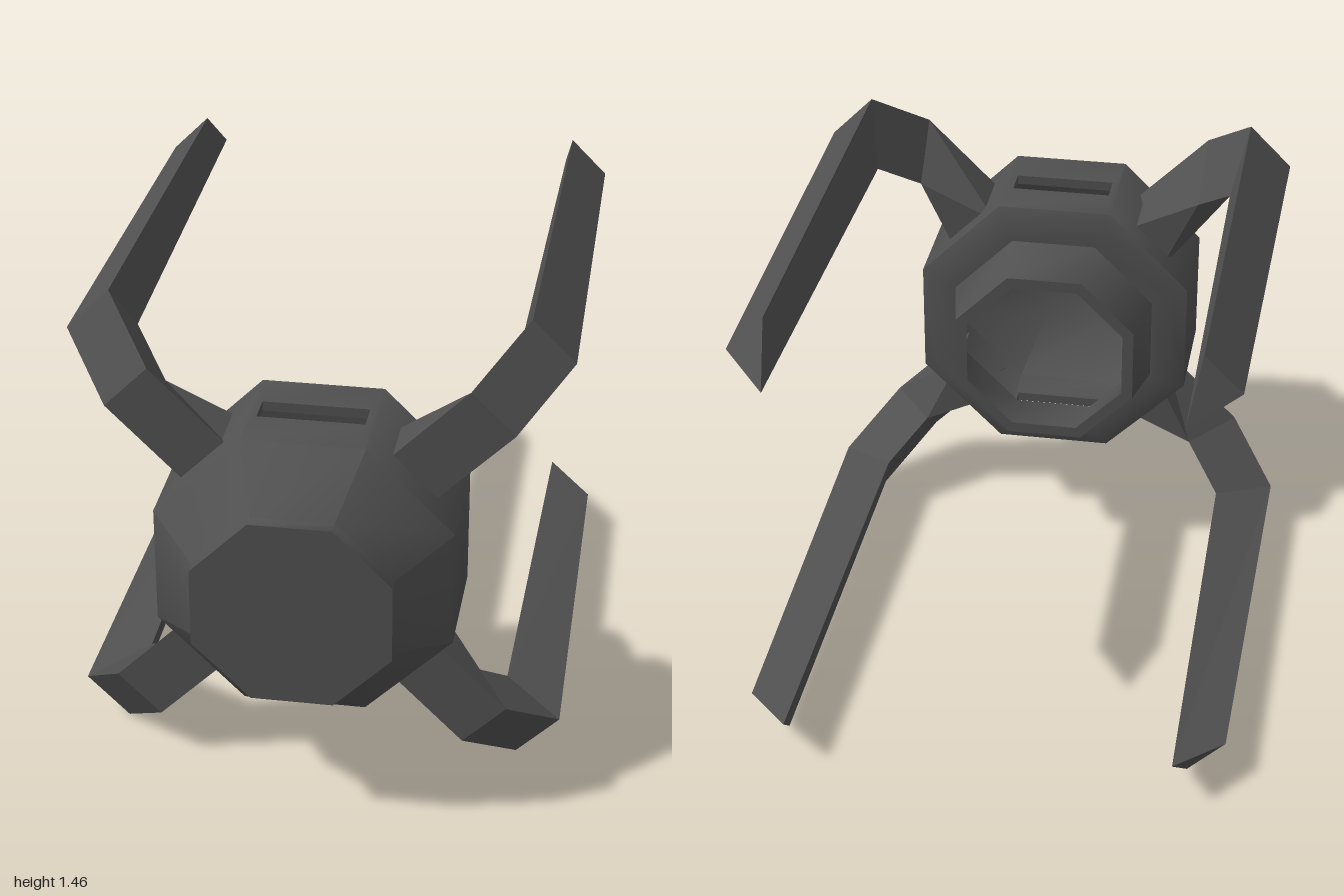
import * as THREE from 'three';
import { toCreasedNormals } from 'three/addons/utils/BufferGeometryUtils.js';

const CENTRE_Y = 0.73;

// Collects quads (corners counter-clockwise from outside), skipping empty triangles
function quadMesh() {
  const pos = [];
  const tri = (a, b, c) => {
    const t = new THREE.Triangle(...[a, b, c].map(p => new THREE.Vector3(...p)));
    if (t.getArea() > 1e-7) pos.push(...a, ...b, ...c);
  };
  return {
    quad(a, b, c, d) { tri(a, b, c); tri(a, c, d); },
    build() {
      const g = new THREE.BufferGeometry();
      g.setAttribute('position', new THREE.Float32BufferAttribute(pos, 3));
      g.computeVertexNormals();
      return g;
    },
  };
}

// Octagon with flats on top, bottom and sides; r is the distance to the flats
function octagon([r, z]) {
  const R = r / Math.cos(Math.PI / 8);
  return Array.from({ length: 8 }, (_, i) => {
    const a = Math.PI / 8 + i * Math.PI / 4;
    return [R * Math.cos(a), R * Math.sin(a), z];
  });
}

// Hollow octagonal hull: outer skin back to front, then inner skin front to back
function hullGeometry() {
  const profile = [
    [0.285, 0.23], [0.32, 0.41], [0.385, 0.41], [0.43, 0.43], [0.43, 0.79], [0.285, 0.96], [0.285, 1], [0, 1],
    [0, 0.95], [0.25, 0.93], [0.40, 0.77], [0.40, 0.45], [0.29, 0.43], [0.25, 0.23], [0.285, 0.23],
  ];
  const m = quadMesh();
  for (let s = 0; s < profile.length - 1; s++) {
    const a = octagon(profile[s]), b = octagon(profile[s + 1]);
    const slotted = s === 3 || s === 10;
    for (let i = 0; i < 8; i++) {
      const k = (i + 1) % 8;
      const c = [a[i], a[k], b[k], b[i]];
      if (!slotted || (i !== 1 && i !== 5)) { m.quad(...c); continue; }
      // Slot cut through the top and bottom panels
      const zs = s === 3 ? [0.56, 0.65] : [0.65, 0.56];
      const h = c.map((p, j) => [Math.sign(p[0]) * 0.155, p[1], zs[j < 2 ? 0 : 1]]);
      for (let j = 0; j < 4; j++) {
        const n = (j + 1) % 4;
        m.quad(c[j], c[n], h[n], h[j]);
        // Slot walls joining both skins
        if (s === 3) {
          const inner = p => [p[0], Math.sign(p[1]) * 0.40, p[2]];
          m.quad(h[j], h[n], inner(h[n]), inner(h[j]));
        }
      }
    }
  }
  return toCreasedNormals(m.build(), 0.85);
}

// Bent arm with a triangular section; its inner ridge widens into a root at the hull.
// Local y points away from the hull axis.
function armGeometry() {
  // [half width, outer radius, outer z, ridge half width, ridge radius, ridge z]
  const sections = [
    [0.09, 0.38, 0.70, 0.09, 0.38, 0.51],
    [0.09, 0.733, 0.70, 0, 0.632, 0.51],
    [0.09, 0.94, 0.52, 0, 0.786, 0.38],
    [0.078, 0.929, -0.84, 0, 0.81, -1],
  ].map(([w, r, z, rw, rr, rz]) => [[-w, r, z], [w, r, z], [rw, rr, rz], [-rw, rr, rz]]);
  const m = quadMesh();
  for (let s = 0; s < sections.length - 1; s++) {
    const a = sections[s], b = sections[s + 1];
    for (let i = 0; i < 4; i++) {
      const k = (i + 1) % 4;
      m.quad(a[i], a[k], b[k], b[i]);
    }
  }
  m.quad(...sections[3]);
  return m.build();
}

export function createModel() {
  const model = new THREE.Group();
  model.name = 'fourArmedCraft';
  const darkGrey = new THREE.MeshStandardMaterial({ color: 0x505050 });
  darkGrey.name = 'dark grey';

  const hull = new THREE.Mesh(hullGeometry(), darkGrey);
  hull.name = 'hull';
  hull.position.y = CENTRE_Y;
  model.add(hull);

  // Four arms on the diagonals
  const armShape = armGeometry();
  ['upperLeftArm', 'upperRightArm', 'lowerRightArm', 'lowerLeftArm'].forEach((name, i) => {
    const arm = new THREE.Mesh(armShape, darkGrey);
    arm.name = name;
    arm.position.y = CENTRE_Y;
    arm.rotation.z = -Math.PI / 4 + i * Math.PI / 2;
    model.add(arm);
  });
  return model;
}
